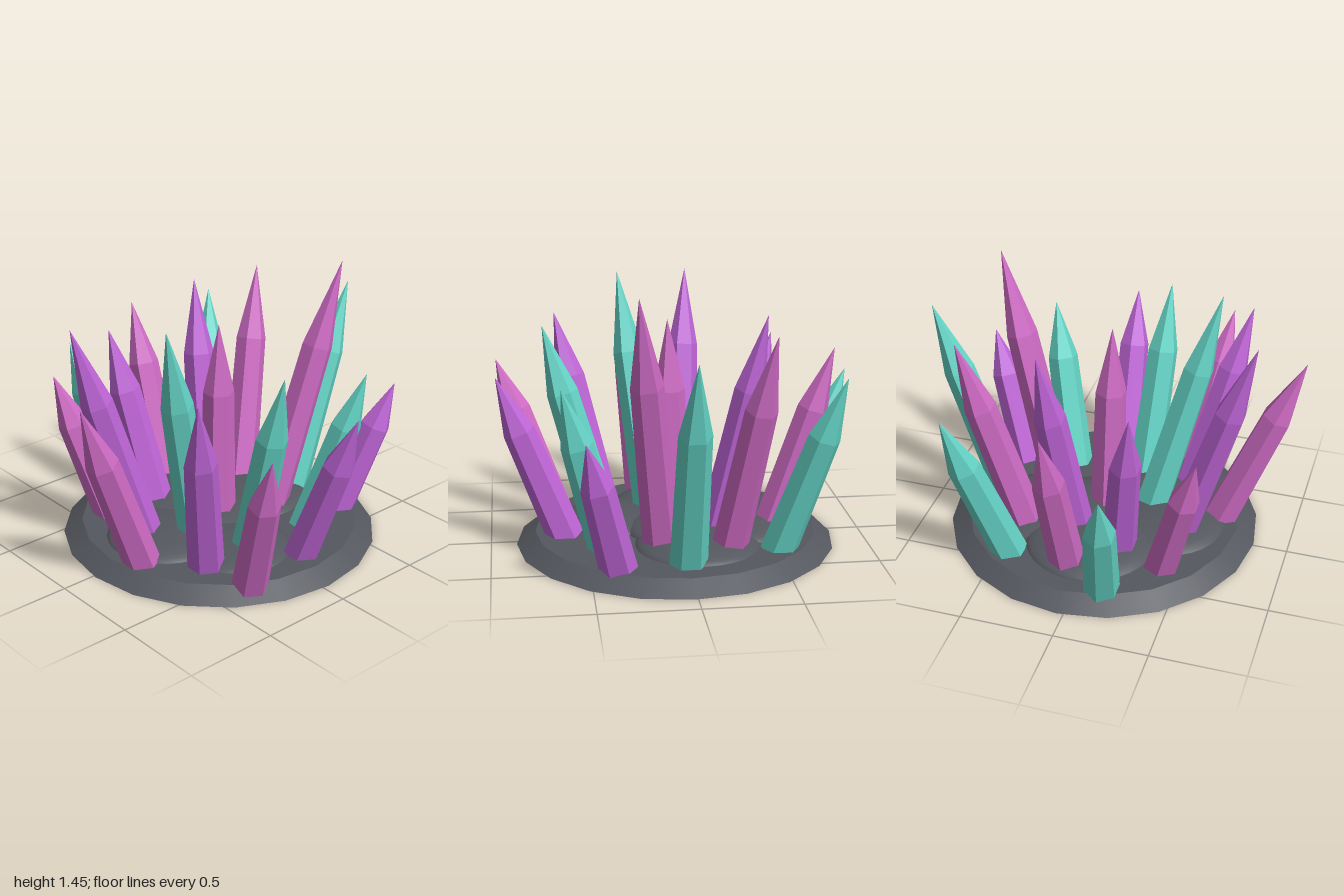
import * as THREE from 'three';

const material = (name, color, flatShading = false) => {
  const m = new THREE.MeshStandardMaterial({ color, flatShading });
  m.name = name;
  return m;
};

export function createModel() {
  const group = new THREE.Group();
  group.name = 'crystalCluster';
  const rock = material('rockGrey', 0x54575e);
  const teal = material('tealCrystal', 0x66d6c8, true);
  const purple = material('purpleCrystal', 0xc066d8, true);
  const pink = material('pinkCrystal', 0xd06cc6, true);

  // Bevelled rock disc
  const disc = new THREE.Mesh(new THREE.CylinderGeometry(0.75, 0.85, 0.07, 20), rock);
  disc.name = 'rockBase';
  disc.position.set(0.035, 0.035, 0.015);
  group.add(disc);

  // Low rounded mounds on the disc: x, z, radius, top height
  [
    [0.02, -0.28, 0.36, 0.14],
    [-0.33, 0.0, 0.32, 0.13],
    [0.32, -0.07, 0.33, 0.13],
    [-0.13, 0.33, 0.3, 0.12],
    [0.06, 0.0, 0.29, 0.14],
  ].forEach(([x, z, r, top]) => {
    const mound = new THREE.Mesh(
      new THREE.SphereGeometry(1, 28, 8, 0, Math.PI * 2, 0, Math.PI / 2), rock);
    mound.name = 'rockMound';
    mound.scale.set(r, top - 0.06, r);
    mound.position.set(x, 0.06, z);
    group.add(mound);
  });

  // Six-sided shaft with a pointed cap, running from foot to tip
  const addCrystal = (foot, tip, mat) => {
    const axis = tip.clone().sub(foot);
    const length = axis.length();
    const shaft = length * 0.67;
    const rFoot = 0.098, rShoulder = 0.084;
    const profile = [[0, 0], [rFoot, 0], [rShoulder, shaft], [0, length]]
      .map(([r, y]) => new THREE.Vector2(r, y));
    const crystal = new THREE.Mesh(new THREE.LatheGeometry(profile, 6), mat);
    crystal.name = 'crystal';
    crystal.position.copy(foot);
    crystal.quaternion.setFromUnitVectors(new THREE.Vector3(0, 1, 0), axis.normalize());
    group.add(crystal);
  };

  // Crystals: inner edge of foot x, z, then tip x, y, z
  [
    [-0.13, -0.57, -0.23, 0.85, -0.96, teal],
    [0.08, -0.42, 0.11, 1.05, -0.82, pink],
    [0.37, -0.42, 0.64, 1.02, -0.77, teal],
    [-0.34, -0.33, -0.61, 0.88, -0.58, pink],
    [-0.11, -0.24, -0.26, 1.06, -0.55, purple],
    [0.10, -0.12, 0.25, 1.26, -0.44, purple],
    [0.34, -0.18, 0.69, 1.25, -0.41, pink],
    [-0.34, -0.05, -0.80, 1.32, -0.14, purple],
    [0.51, 0.01, 0.99, 1.2, 0.015, teal],
    [-0.52, 0.12, -1.0, 1.07, 0.2, pink],
    [-0.14, 0.08, -0.53, 1.36, 0.27, teal],
    [0.25, 0.09, 0.68, 1.45, 0.26, pink],
    [-0.32, 0.33, -0.63, 1.12, 0.62, purple],
    [-0.08, 0.32, -0.15, 1.15, 0.70, teal],
    [0.28, 0.34, 0.505, 0.97, 0.63, teal],
    [0.54, 0.32, 0.84, 0.79, 0.53, purple],
    [-0.28, 0.58, -0.46, 0.9, 0.95, pink],
    [0.08, 0.53, 0.11, 0.94, 0.95, purple],
  ].forEach(([x, z, tx, ty, tz, mat]) => {
    const tip = new THREE.Vector3(tx, ty, tz);
    const outward = new THREE.Vector3(tx - x, 0, tz - z).normalize();
    const foot = new THREE.Vector3(x, 0.05, z).addScaledVector(outward, 0.075);
    addCrystal(foot, tip, mat);
  });
  // Upright crystal in the middle
  addCrystal(new THREE.Vector3(0.02, 0.05, 0.025), new THREE.Vector3(0, 1.2, 0.05), pink);

  return group;
}
